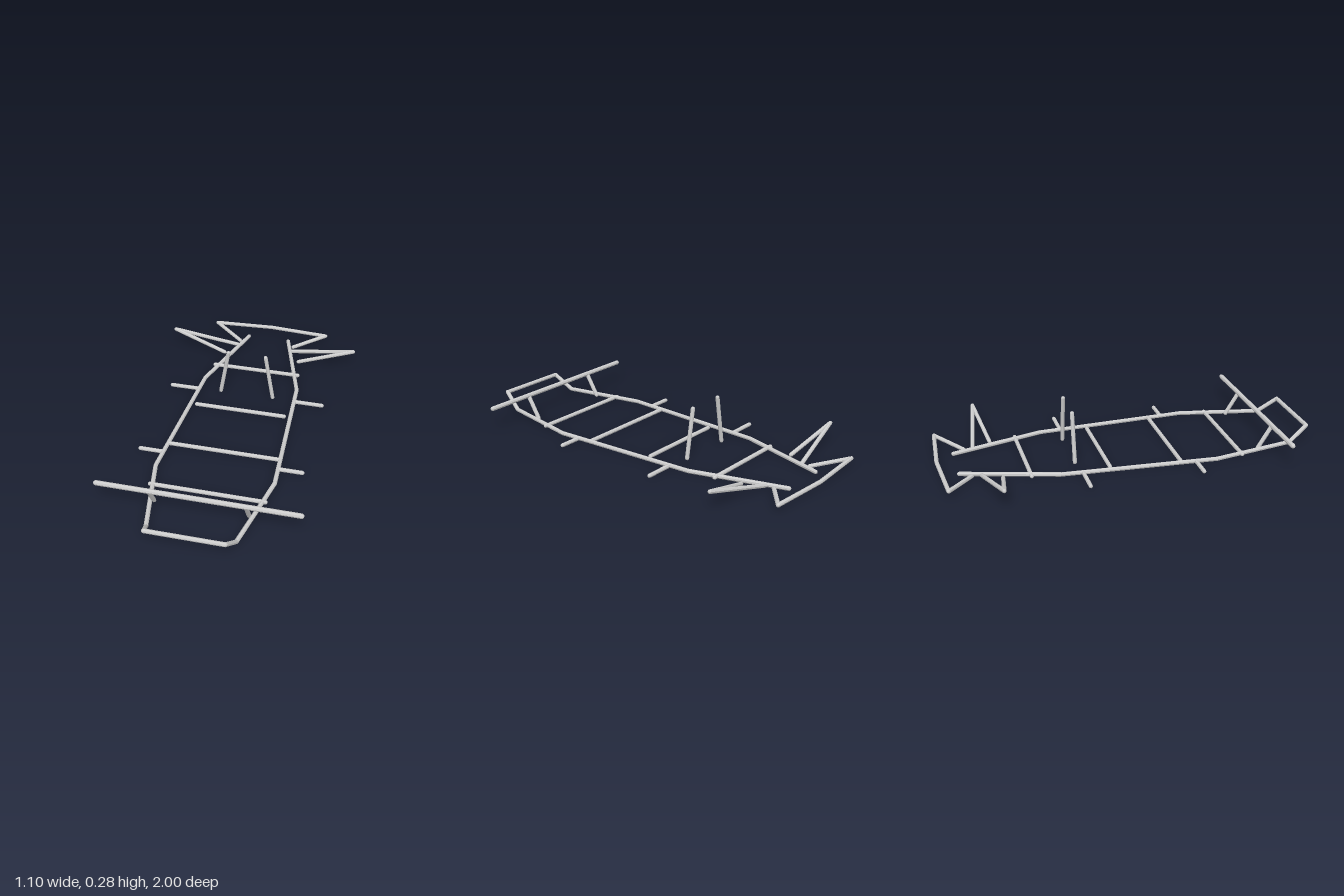
import * as THREE from 'three';

const R = 0.0115; // tube radius
const Y = 0.012; // height of the floor frame

export function createModel() {
  const model = new THREE.Group();
  model.name = 'tubeFrame';
  const steel = new THREE.MeshStandardMaterial({ color: 0xcccccc, flatShading: true });
  steel.name = 'light grey steel';

  // One round-ended tube between two points
  function tube(name, a, b, r = R) {
    const p = new THREE.Vector3(...a), q = new THREE.Vector3(...b);
    const dir = q.clone().sub(p);
    const mesh = new THREE.Mesh(new THREE.CapsuleGeometry(r, dir.length(), 3, 8), steel);
    mesh.name = name;
    mesh.position.copy(p).add(q).multiplyScalar(0.5);
    mesh.quaternion.setFromUnitVectors(new THREE.Vector3(0, 1, 0), dir.normalize());
    model.add(mesh);
  }

  // A run of tubes through points, built on both sides
  function pair(name, points, r) {
    for (const [side, s] of [['left', 1], ['right', -1]]) {
      for (let i = 1; i < points.length; i++) {
        const [a, b] = [points[i - 1], points[i]].map(([x, y, z]) => [s * x, y, z]);
        tube(side + name, a, b, r);
      }
    }
  }

  // Side rails, rising to the front bumper
  pair('Rail', [
    [0.122, Y, -0.888], [0.268, Y, -0.393], [0.312, Y, 0.432],
    [0.222, Y, 0.882], [0.196, 0.087, 0.988],
  ]);
  tube('frontBumper', [-0.196, 0.087, 0.988], [0.196, 0.087, 0.988]);

  // Floor cross members
  for (const [x, z] of [[0.247, -0.539], [0.247, -0.131], [0.297, 0.241], [0.297, 0.579]]) {
    tube('crossMember', [-x, Y, z], [x, Y, z], 0.011);
  }

  // Outrigger stubs
  pair('RearStub', [[0.275, Y, -0.279], [0.432, Y, -0.279]], 0.011);
  pair('FrontStub', [[0.306, Y, 0.317], [0.432, Y, 0.317]], 0.011);

  // Raised front crossbar on raked posts
  tube('frontCrossbar', [-0.507, 0.131, 0.765], [0.507, 0.131, 0.765], 0.013);
  pair('CrossbarPost', [[0.24, Y, 0.692], [0.24, 0.129, 0.765]]);

  // Leaning uprights
  pair('Upright', [[0.149, Y, -0.293], [0.105, 0.27, -0.293]], 0.011);

  // Raised side wings
  pair('SideWing', [[0.165, Y, -0.782], [0.537, 0.102, -0.724], [0.224, Y, -0.681]], 0.011);

  // Rear bumper hoop
  pair('RearHoop', [[0.164, Y, -0.83], [0.338, 0.033, -0.966], [0, 0.033, -0.988]], 0.011);

  return model;
}
